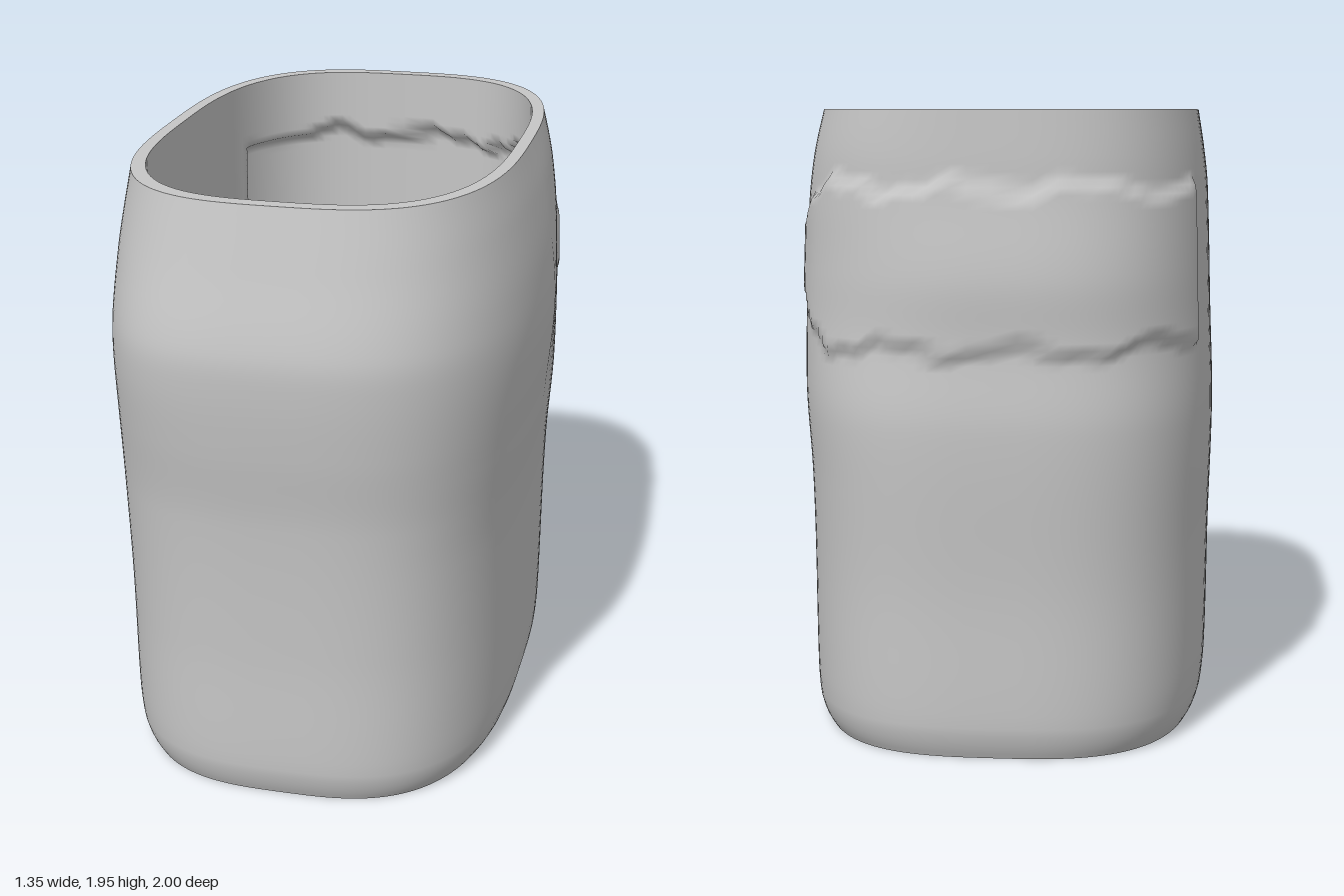
import * as THREE from 'three';

const SEG = 144, H = 1.945, CX = -0.02, CZ = -0.025;

// [height, extent] silhouettes of the four sides
const RIGHT = [[0, -0.62], [0.03, -0.637], [0.08, -0.652], [0.2, -0.662], [0.6, -0.668], [1, -0.677], [1.3, -0.667], [1.7, -0.653], [1.82, -0.64], [H, -0.62]];
const LEFT = [[0, 0.58], [0.03, 0.598], [0.08, 0.613], [0.2, 0.62], [0.8, 0.628], [1.1, 0.652], [1.4, 0.675], [1.6, 0.66], [1.8, 0.62], [H, 0.58]];
const FRONT = [[0, 0.89], [0.04, 0.907], [0.1, 0.92], [0.5, 0.922], [0.95, 0.945], [1.2, 0.98], [1.4, 1], [1.52, 0.998], [1.75, 0.94], [H, 0.89]];
const BACK = [[0, -0.93], [0.04, -0.947], [0.1, -0.96], [0.5, -0.963], [1, -0.988], [1.25, -0.968], [1.45, -0.975], [1.7, -0.945], [1.8, -0.942], [H, -0.935]];

// Squareness of the rounded section, and of each corner where the wall bulges
const SQUARE = 3;
const CORNERS = { frontRight: 3.35, frontLeft: 2.9, backRight: 2.85, backLeft: 2.5 };

// Smooth curve through a table of [height, value]
function sample(table, y) {
  const last = table.length - 1;
  let i = 0;
  while (i < last - 1 && y > table[i + 1][0]) i++;
  const slope = (k) => {
    const [y0, a] = table[Math.max(k - 1, 0)], [y1, b] = table[Math.min(k + 1, last)];
    return (b - a) / (y1 - y0);
  };
  const [y0, a] = table[i], [y1, b] = table[i + 1];
  const h = y1 - y0, t = (y - y0) / h, t2 = t * t, t3 = t2 * t;
  return a * (2 * t3 - 3 * t2 + 1) + b * (3 * t2 - 2 * t3) +
    h * (slope(i) * (t3 - 2 * t2 + t) + slope(i + 1) * (t3 - t2));
}

// Point on a rounded-rectangular ring with four separate extents
function ringPoint(t, xMin, xMax, zMin, zMax, n, y) {
  const c = Math.cos(t), s = Math.sin(t);
  const u = Math.pow(Math.abs(c), 2 / n), v = Math.pow(Math.abs(s), 2 / n);
  return new THREE.Vector3(
    CX + u * (c < 0 ? xMin - CX : xMax - CX), y,
    CZ + v * (s < 0 ? zMin - CZ : zMax - CZ));
}

// How far a point lies round the left back corner, 0 to 1
function aroundCorner(p) {
  return THREE.MathUtils.clamp((p.x - 0.45) / 0.12, 0, 1) *
    THREE.MathUtils.clamp((p.z + 0.85) / 0.5, 0, 1);
}

// Ragged pocket across the back, 0 outside and 1 inside
function pocket(p) {
  const limit = p.x < 0 ? -0.57 : -0.36, side = aroundCorner(p);
  const rag = 0.02 * Math.sin(p.x * 17) + 0.012 * Math.sin(p.x * 41 + p.z * 23);
  const top = 1.73 - 0.15 * side + rag, low = 1.23 + 0.18 * side - rag;
  const step = (d) => THREE.MathUtils.smoothstep(d, 0, 0.025);
  return step(limit - p.z) * step(top - p.y) * step(p.y - low);
}

function pushOut(p, amount) {
  const d = new THREE.Vector3((p.x - CX) / 0.4, 0, (p.z - CZ) / 0.9).normalize();
  return p.addScaledVector(d, amount);
}

function outerPoint(t, y) {
  const left = Math.cos(t) > 0, back = Math.sin(t) < 0;
  const corner = (back ? 'back' : 'front') + (left ? 'Left' : 'Right');
  const bulge = Math.exp(-Math.pow((y - 1.45) / 0.28, 2));
  const n = THREE.MathUtils.lerp(SQUARE, CORNERS[corner], bulge);
  const p = ringPoint(t, sample(RIGHT, y), sample(LEFT, y), sample(BACK, y), sample(FRONT, y), n, y);
  // The left wall flattens behind its middle
  if (left && back) p.x -= 0.02 * bulge * Math.sin(Math.PI * Math.min((CZ - p.z) / 0.68, 1));
  return pushOut(p, 0.022 * (1 - 0.6 * aroundCorner(p)) * pocket(p));
}

function innerPoint(t, y) {
  const p = ringPoint(t, -0.58, 0.54, -0.887, 0.84, SQUARE, y);
  return pushOut(p, 0.045 * pocket(p));
}

// Skin a stack of closed rings; inward reverses the faces
function skin(rings, inward) {
  const pos = [], idx = [];
  rings.forEach((ring) => ring.forEach((p) => pos.push(p.x, p.y, p.z)));
  for (let r = 0; r < rings.length - 1; r++) {
    for (let i = 0; i < SEG; i++) {
      const j = (i + 1) % SEG;
      const a = r * SEG + i, b = r * SEG + j, c = a + SEG, d = b + SEG;
      if (inward) idx.push(a, b, c, b, d, c);
      else idx.push(a, c, b, b, c, d);
    }
  }
  const g = new THREE.BufferGeometry();
  g.setAttribute('position', new THREE.Float32BufferAttribute(pos, 3));
  g.setIndex(idx);
  g.computeVertexNormals();
  return g;
}

export function createModel() {
  const group = new THREE.Group();
  group.name = 'sleeve';
  const grey = new THREE.MeshStandardMaterial({ color: 0xc6c6c6 });
  grey.name = 'plain grey';

  const ring = (fn, y) => Array.from({ length: SEG }, (_, i) => fn(i / SEG * Math.PI * 2, y));
  const add = (name, rings, inward = false) => {
    const mesh = new THREE.Mesh(skin(rings, inward), grey);
    mesh.name = name;
    group.add(mesh);
  };

  // Row heights, closer together at the rounded foot
  const rows = [0, 0.015, 0.03, 0.05, 0.075, 0.1, 0.14];
  for (let k = 1; k <= 80; k++) rows.push(0.14 + (H - 0.14) * k / 80);

  // Walls
  add('outerWall', rows.map((y) => ring(outerPoint, y)));
  add('innerWall', rows.map((y) => ring(innerPoint, y)), true);

  // Flat rims joining the walls
  add('topRim', [ring(outerPoint, H), ring(innerPoint, H)]);
  add('bottomRim', [ring(innerPoint, 0), ring(outerPoint, 0)]);
  return group;
}
